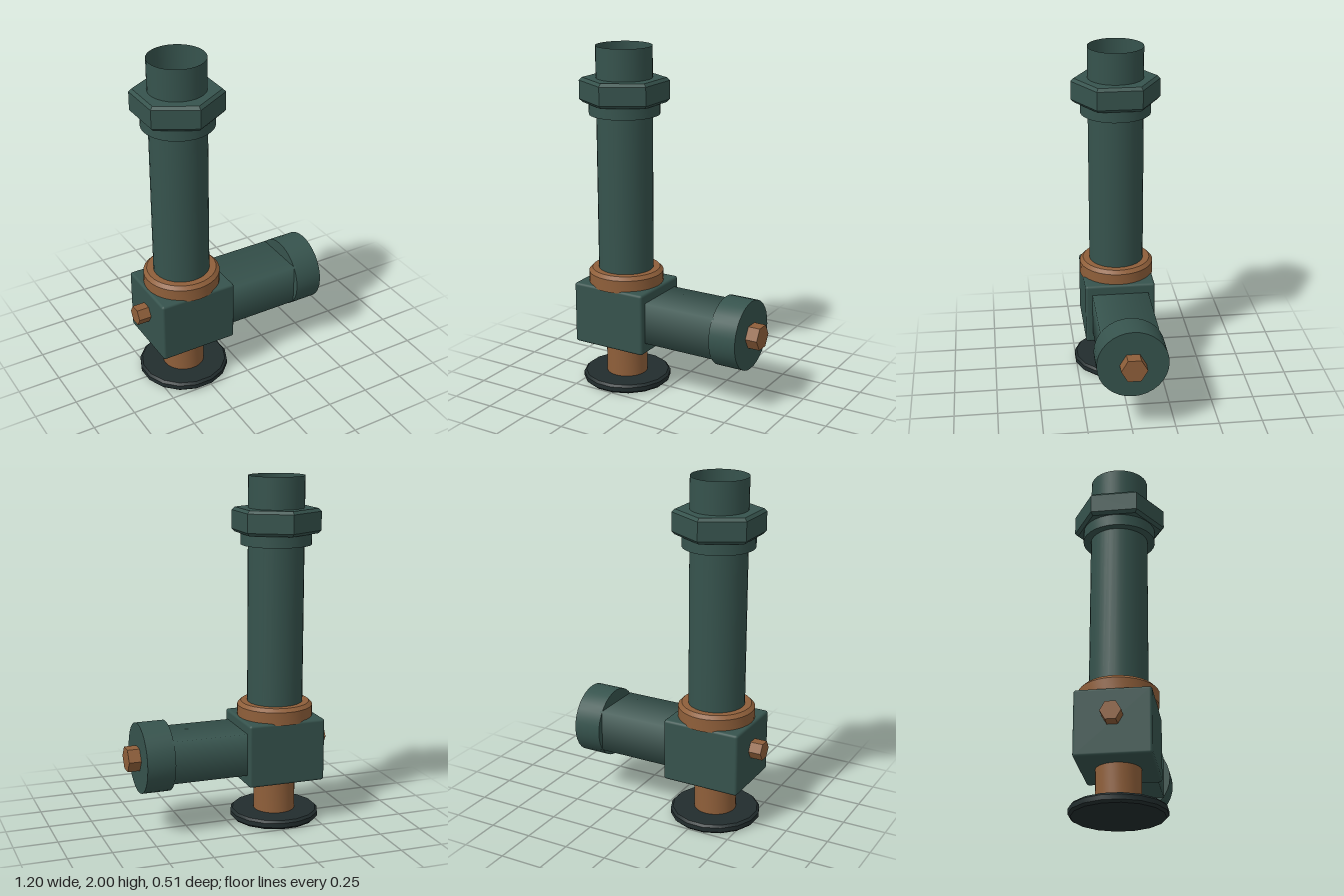
import * as THREE from 'three';
import { toCreasedNormals } from 'three/addons/utils/BufferGeometryUtils.js';
import { RoundedBoxGeometry } from 'three/addons/geometries/RoundedBoxGeometry.js';

const AXIS_X = -0.297; // centre line of the upright column

function material(name, color, extra = {}) {
  const m = new THREE.MeshStandardMaterial({ color, ...extra });
  m.name = name;
  return m;
}

// Solid of revolution between y0 and y1 with chamfered rims; few sides give a prism
function turned(radius, y0, y1, sides, { bottom = 0, top = 0, start = 0 } = {}) {
  const pts = [[0, y0], [radius - bottom, y0]];
  if (bottom) pts.push([radius, y0 + bottom]);
  if (top) pts.push([radius, y1 - top]);
  pts.push([radius - top, y1], [0, y1]);
  const profile = pts.map(([x, y]) => new THREE.Vector2(x, y));
  const g = new THREE.LatheGeometry(profile, sides, start);
  return toCreasedNormals(g, 0.5);
}

export function createModel() {
  const green = material('dark green paint', 0x36534d);
  const greenThin = material('dark green paint', 0x36534d);
  greenThin.side = THREE.DoubleSide;
  const brass = material('brass', 0x8f5f3a);
  const black = material('black rubber', 0x222d2e);

  const model = new THREE.Group();
  model.name = 'pipeFitting';
  const add = (name, geometry, mat, x = 0, y = 0, z = 0) => {
    const mesh = new THREE.Mesh(geometry, mat);
    mesh.name = name;
    mesh.position.set(x, y, z);
    model.add(mesh);
    return mesh;
  };

  // Foot and stem
  add('footDisc', turned(0.26, 0, 0.052, 16, { bottom: 0.013, top: 0.013, start: Math.PI / 16 }), black, AXIS_X);
  add('stem', turned(0.121, 0.04, 0.27, 32), brass, AXIS_X);

  // Valve body
  add('valveBody', new RoundedBoxGeometry(0.46, 0.367, 0.41, 2, 0.015), green, AXIS_X, 0.438);
  add('bodyRing', turned(0.218, 0.61, 0.705, 32, { top: 0.02 }), brass, AXIS_X);

  // Upright pipe, open at the top
  add('uprightPipe', new THREE.CylinderGeometry(0.16, 0.16, 1.32, 32, 1, true), greenThin, AXIS_X, 1.34);
  add('pipeCollar', turned(0.202, 1.615, 1.69, 32), green, AXIS_X);
  add('hexNut', turned(0.255, 1.68, 1.82, 6, { bottom: 0.017, top: 0.017 }), green, AXIS_X);

  // Square side arm with softly shaded sides
  const arm = new THREE.CylinderGeometry(Math.SQRT1_2, Math.SQRT1_2, 1, 4, 1, true, Math.PI / 4);
  arm.rotateZ(-Math.PI / 2);
  arm.scale(0.46, 0.245, 0.33);
  add('sideArm', arm, green, 0.15, 0.4425);

  // Round end cap and the two hex bolts, turned onto the x axis
  const sideways = (name, geometry, mat, y) => {
    geometry.rotateZ(-Math.PI / 2);
    add(name, geometry, mat, 0, y);
  };
  sideways('endCap', turned(0.202, 0.367, 0.53, 32), green, 0.44);
  sideways('endBolt', turned(0.074, 0.52, 0.6, 6), brass, 0.44);
  sideways('bodyBolt', turned(0.056, -0.6, -0.51, 6), brass, 0.468);

  return model;
}
